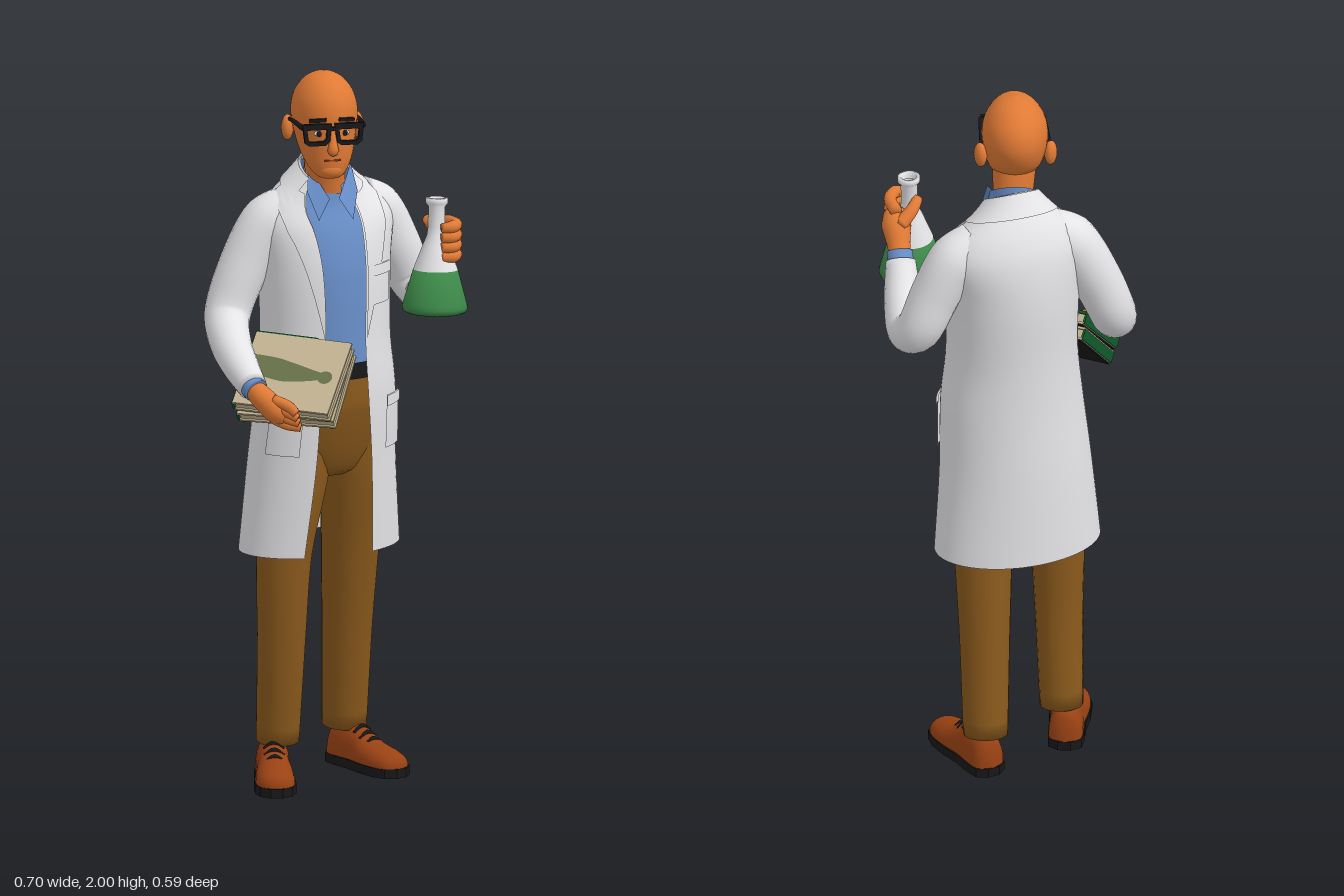
import * as THREE from 'three';
import { mergeVertices } from 'three/addons/utils/BufferGeometryUtils.js';

const V = (x, y, z) => new THREE.Vector3(x, y, z);
const { lerp, clamp, smoothstep } = THREE.MathUtils;

const mat = (name, color, side = THREE.FrontSide) => {
  const m = new THREE.MeshStandardMaterial({ color, side });
  m.name = name;
  return m;
};

// Smooth surface from fn(u, v), both 0..1; u x v points outward
function grid(fn, nu, nv) {
  const pos = [], idx = [], w = nu + 1;
  for (let j = 0; j <= nv; j++)
    for (let i = 0; i <= nu; i++) pos.push(...fn(i / nu, j / nv).toArray());
  for (let j = 0; j < nv; j++)
    for (let i = 0; i < nu; i++) {
      const a = j * w + i;
      idx.push(a, a + 1, a + w, a + 1, a + w + 1, a + w);
    }
  let g = new THREE.BufferGeometry();
  g.setAttribute('position', new THREE.Float32BufferAttribute(pos, 3));
  g.setIndex(idx);
  g = mergeVertices(g, 1e-5);
  g.computeVertexNormals();
  return g;
}

// Round limb through [x, y, z, radius] points, closed at both ends
function sweep(pts, rows = 28, sides = 20) {
  const curve = new THREE.CatmullRomCurve3(pts.map(p => V(p[0], p[1], p[2])));
  let n = V(0.31, 0.2, 0.93);
  const frames = [];
  for (let j = 0; j <= rows; j++) {
    const t = clamp((j - 1) / (rows - 2), 0, 1), T = curve.getTangent(t);
    n = n.clone().addScaledVector(T, -n.dot(T)).normalize();
    const f = t * (pts.length - 1), i = Math.min(Math.floor(f), pts.length - 2);
    const r = j === 0 || j === rows ? 0 : lerp(pts[i][3], pts[i + 1][3], f - i);
    frames.push({ p: curve.getPoint(t), n, b: T.clone().cross(n), r });
  }
  return grid((u, v) => {
    const f = frames[Math.round(v * rows)], a = u * Math.PI * 2;
    return f.p.clone().addScaledVector(f.n, f.r * Math.cos(a)).addScaledVector(f.b, f.r * Math.sin(a));
  }, sides, rows);
}

// Smooth interpolation of table rows keyed on their first number
function rowAt(rows, y) {
  let i = 0;
  while (i < rows.length - 2 && y > rows[i + 1][0]) i++;
  const a = rows[i], b = rows[i + 1], p = rows[i - 1] || a, q = rows[i + 2] || b;
  const h = b[0] - a[0], k = clamp((y - a[0]) / h, 0, 1);
  return a.map((av, c) => {
    const m0 = (b[c] - p[c]) / (b[0] - p[0]) * h, m1 = (q[c] - av) / (q[0] - a[0]) * h;
    return (2 * k ** 3 - 3 * k * k + 1) * av + (k ** 3 - 2 * k * k + k) * m0
      + (3 * k * k - 2 * k ** 3) * b[c] + (k ** 3 - k * k) * m1;
  });
}

// Torso: y, centre x, centre z, half width, half depth, right and left coat edge x
const TORSO = [
  [0.65, -0.015, -0.12, 0.238, 0.165, -0.09, 0.11], [0.9, -0.01, -0.11, 0.215, 0.17, -0.06, 0.105],
  [1.1, 0, -0.105, 0.2, 0.17, -0.045, 0.092], [1.25, 0, -0.11, 0.185, 0.165, -0.032, 0.085],
  [1.45, 0, -0.122, 0.19, 0.16, -0.035, 0.09], [1.58, 0.005, -0.135, 0.2, 0.137, -0.055, 0.085],
  [1.66, 0.005, -0.13, 0.165, 0.11, -0.07, 0.075], [1.71, 0, -0.115, 0.112, 0.085, -0.068, 0.062],
  [1.755, 0, -0.1, 0.068, 0.066, -0.052, 0.05]];
const CY = Math.cos(0.33), SY = Math.sin(0.33);
function torsoPoint(y, t, scale = 1, off = 0) {
  const [, cx, cz, rx, rz] = rowAt(TORSO, y);
  const lx = (rx * scale + off) * Math.sin(t), lz = (rz * scale + off) * Math.cos(t);
  // the neckline dips towards the front
  const dip = 0.08 * smoothstep(y, 1.52, 1.75) * (0.5 + 0.5 * Math.cos(t));
  return V(cx + lx * CY + lz * SY, y - dip, cz - lx * SY + lz * CY);
}
// Angle on the torso's front where it reaches a given x
function angleAt(r, x) {
  const a = r[3] * CY, b = r[4] * SY;
  return Math.asin(clamp((x - r[1]) / Math.hypot(a, b), -1, 1)) - Math.atan2(b, a);
}
const band = (y0, y1, scale, off = 0, t0 = 0, t1 = Math.PI * 2) => grid(
  (u, v) => torsoPoint(lerp(y0, y1, v), lerp(t0, t1, u), scale, off), 48, 24);

// Head: y, centre z, half width, half depth
const HEAD = [[1.713, 0.015, 0, 0], [1.72, 0.015, 0.03, 0.028], [1.74, -0.002, 0.052, 0.052],
  [1.77, -0.022, 0.068, 0.076], [1.81, -0.047, 0.08, 0.103], [1.86, -0.061, 0.089, 0.118],
  [1.9, -0.064, 0.091, 0.12], [1.94, -0.064, 0.081, 0.108], [1.975, -0.062, 0.057, 0.078],
  [1.993, -0.06, 0.03, 0.042], [2, -0.06, 0, 0]];

export function createModel() {
  const root = new THREE.Group();
  const DS = THREE.DoubleSide;
  const skin = mat('skin', 0xe07a35), white = mat('white', 0xededf0, DS), blue = mat('shirtBlue', 0x688ec8, DS);
  const brown = mat('trouserBrown', 0x8a591c, DS), leather = mat('shoeLeather', 0x9a4214), black = mat('black', 0x18181a);
  const green = mat('liquidGreen', 0x3c8748), beige = mat('bookBeige', 0xc4b592), olive = mat('olive', 0x68744a);
  const darkGreen = mat('bookGreen', 0x0f5a2c);
  const add = (name, geo, m, parent = root) => {
    const mesh = new THREE.Mesh(geo, m);
    mesh.name = name;
    parent.add(mesh);
    return mesh;
  };
  const ball = (name, m, p, s, parent) => {
    const b = add(name, new THREE.SphereGeometry(1, 20, 14), m, parent);
    b.position.set(...p);
    b.scale.set(...s);
    return b;
  };

  // Shirt, trousers and belt under the coat
  add('shirt', band(1.17, 1.735, 0.93), blue);
  add('hips', grid((u, v) => torsoPoint(lerp(0.86, 1.17, v), u * Math.PI * 2,
    lerp(0.45, 0.92, Math.sqrt(Math.min(v * 1.5, 1)))), 48, 24), brown);
  add('belt', band(1.15, 1.195, 0.935, 0.004), black);
  add('rightTrouserLeg', sweep([[-0.07, 1.06, -0.08, 0.1], [-0.095, 0.87, -0.055, 0.093], [-0.127, 0.65, -0.045, 0.077],
    [-0.134, 0.4, -0.052, 0.067], [-0.139, 0.11, -0.08, 0.06]]), brown);
  add('leftTrouserLeg', sweep([[0.075, 1.06, -0.12, 0.1], [0.085, 0.87, -0.135, 0.096], [0.082, 0.65, -0.165, 0.081],
    [0.08, 0.4, -0.2, 0.07], [0.08, 0.11, -0.237, 0.062]]), brown);

  // Open lab coat
  add('coat', grid((u, v) => {
    const y = lerp(0.65, 1.755, v), r = rowAt(TORSO, y);
    return torsoPoint(y, lerp(angleAt(r, r[6]), angleAt(r, r[5]) + Math.PI * 2, u));
  }, 64, 48), white);
  for (const [name, col, s] of [['rightLapel', 5, -1], ['leftLapel', 6, 1]])
    add(name, grid((u, v) => {
      const y = lerp(1.26, 1.72, v), r = rowAt(TORSO, y);
      const w = 0.07 * Math.min(v / 0.68, 1);
      return torsoPoint(y, angleAt(r, r[col] + s * w * (s > 0 ? u : 1 - u)), 1, 0.008);
    }, 8, 24), white);
  add('coatCollar', band(1.7, 1.757, 1, 0.008, 1.2, 5.1), white);
  const pocket = (name, y0, y1, t0, t1) => {
    add(name, band(y0, y1, 1, 0.006, t0, t1), white);
    add(name + 'Flap', band(y1 - 0.03, y1, 1, 0.011, t0 - 0.02, t1 + 0.02), white);
  };
  pocket('leftHipPocket', 0.94, 1.09, 0.55, 1.25);
  pocket('rightHipPocket', 0.94, 1.09, -1.3, -0.75);
  pocket('breastPocket', 1.35, 1.46, 0.35, 0.75);

  // Sleeves and cuffs
  add('leftSleeve', sweep([[0.1, 1.615, -0.175, 0.06], [0.16, 1.57, -0.195, 0.073], [0.215, 1.47, -0.205, 0.069],
    [0.262, 1.365, -0.208, 0.063], [0.288, 1.335, -0.165, 0.058], [0.297, 1.385, -0.08, 0.053], [0.298, 1.465, -0.005, 0.042]], 40), white);
  add('rightSleeve', sweep([[-0.09, 1.615, -0.11, 0.06], [-0.16, 1.57, -0.105, 0.075], [-0.235, 1.44, -0.095, 0.07],
    [-0.282, 1.32, -0.07, 0.064], [-0.29, 1.26, 0.02, 0.057], [-0.28, 1.215, 0.11, 0.05], [-0.262, 1.175, 0.185, 0.04]], 40), white);
  add('leftCuff', sweep([[0.298, 1.455, -0.01, 0.036], [0.3, 1.485, 0.016, 0.036]], 8), blue);
  add('rightCuff', sweep([[-0.265, 1.18, 0.175, 0.035], [-0.255, 1.168, 0.196, 0.035]], 8), blue);

  // Neck and shirt collar
  add('neck', sweep([[0, 1.6, -0.11, 0.055], [-0.005, 1.7, -0.085, 0.055], [-0.012, 1.81, -0.06, 0.062]]), skin);
  add('collarBand', grid((u, v) => {
    const a = 0.5 + u * (Math.PI * 2 - 1), r = lerp(0.066, 0.061, v), c = Math.cos(a);
    return V(r * Math.sin(a), lerp(1.665 - 0.02 * c, 1.72 - 0.046 * c, v), -0.092 + r * c);
  }, 32, 3), blue);
  for (const s of [-1, 1])
    add(s > 0 ? 'leftCollarFlap' : 'rightCollarFlap', grid((u, v) => {
      const low = V(s * 0.07, 1.665, -0.03).lerp(V(s * 0.048, 1.595, 0.02), u);
      const high = V(s * 0.06, 1.732, -0.075).lerp(V(s * 0.013, 1.65, -0.005), u);
      const p = low.lerp(high, v);
      return V(p.x + 0.005, p.y, p.z);
    }, 4, 4), blue);

  // Head, facing forward
  const head = new THREE.Group();
  head.name = 'head';
  head.position.x = -0.012;
  root.add(head);
  add('skull', grid((u, v) => {
    const y = lerp(1.713, 2, 0.5 - 0.5 * Math.cos(v * Math.PI)), [, cz, rx, rz] = rowAt(HEAD, y), a = u * Math.PI * 2;
    return V(rx * Math.sin(a), y, cz + rz * Math.cos(a));
  }, 36, 32), skin, head);
  add('nose', sweep([[0, 1.86, 0.045, 0.009], [0, 1.825, 0.058, 0.011], [0, 1.803, 0.062, 0.016], [0, 1.795, 0.055, 0.012]], 14, 12), skin, head);
  ball('chin', skin, [0, 1.742, 0.03], [0.034, 0.025, 0.024], head);
  const mouth = add('mouth', new THREE.BoxGeometry(0.045, 0.004, 0.008), leather, head);
  mouth.position.set(0, 1.773, 0.053);
  const points = list => list.map(p => new THREE.Vector2(...p));
  for (const s of [-1, 1]) {
    ball('ear', skin, [s * 0.097, 1.838, -0.092], [0.017, 0.036, 0.023], head).rotation.y = s * 0.4;
    ball('eye', white, [s * 0.036, 1.848, 0.042], [0.014, 0.008, 0.007], head);
    ball('pupil', black, [s * 0.036, 1.848, 0.047], [0.008, 0.008, 0.004], head);
    const brow = add('eyebrow', new THREE.BoxGeometry(0.048, 0.01, 0.01), black, head);
    brow.position.set(s * 0.04, 1.886, 0.048);
    brow.rotation.set(0, s * 0.35, -s * 0.12);
    // Glasses
    const rim = new THREE.Shape(points([[-0.041, 0.029], [-0.034, -0.024], [-0.022, -0.032], [0.024, -0.032], [0.036, -0.021], [0.041, 0.029]]));
    rim.holes.push(new THREE.Path(points([[-0.028, 0.013], [-0.024, -0.016], [-0.018, -0.021], [0.019, -0.021], [0.026, -0.014], [0.028, 0.013]])));
    add('glassesRim', new THREE.ExtrudeGeometry(rim, { depth: 0.013, bevelEnabled: false }), black, head)
      .position.set(s * 0.045, 1.85, 0.052);
    add('glassesArm', sweep([[s * 0.085, 1.87, 0.056, 0.008], [s * 0.091, 1.868, -0.03, 0.006], [s * 0.094, 1.862, -0.1, 0.005]], 10, 8), black, head);
  }
  add('glassesBridge', new THREE.BoxGeometry(0.03, 0.011, 0.011), black, head).position.set(0, 1.864, 0.059);

  // Shoes, built heel to toe: distance, half width, height
  const LAST = [[0, 0.014, 0.07], [0.02, 0.042, 0.105], [0.07, 0.047, 0.128], [0.12, 0.046, 0.115],
    [0.18, 0.053, 0.085], [0.24, 0.053, 0.07], [0.28, 0.04, 0.057], [0.3, 0.012, 0.036]];
  for (const [name, x, z, yaw] of [['rightShoe', -0.142, -0.15, -0.15], ['leftShoe', 0.06, -0.285, 0.47]]) {
    const shoe = new THREE.Group();
    shoe.name = name;
    shoe.position.set(x, 0, z);
    shoe.rotation.y = yaw;
    root.add(shoe);
    add('upper', grid((u, v) => {
      const [d, w, h] = rowAt(LAST, v * 0.3), a = u * Math.PI * 2, k = v === 0 || v === 1 ? 0 : 1;
      return V(k * w * Math.cos(a), 0.022 + k * (h - 0.022) * Math.max(Math.sin(a), 0) ** 0.8, d);
    }, 28, 26), leather, shoe);
    const edge = [...LAST.map(p => [p[1] + 0.004, -p[0]]), ...LAST.slice().reverse().map(p => [-p[1] - 0.004, -p[0]])];
    const sole = new THREE.ExtrudeGeometry(new THREE.Shape(points(edge)), { depth: 0.026, bevelEnabled: false });
    add('sole', sole.rotateX(-Math.PI / 2), black, shoe);
    for (const d of [0.125, 0.15, 0.175]) {
      const h = rowAt(LAST, d)[2];
      add('lace', sweep([[-0.028, h - 0.014, d, 0.004], [0, h + 0.002, d, 0.006], [0.028, h - 0.014, d, 0.004]], 10, 8), black, shoe);
    }
  }

  // Flask with liquid
  const flask = new THREE.Group();
  flask.name = 'flask';
  flask.position.set(0.258, 1.35, 0.134);
  flask.rotation.set(-0.075, 0, -0.035);
  root.add(flask);
  const lathe = pts => new THREE.LatheGeometry(points(pts), 36);
  add('liquid', lathe([[0, 0], [0.078, 0], [0.088, 0.006], [0.091, 0.016], [0.088, 0.028], [0.062, 0.12], [0, 0.12]]), green, flask);
  add('glass', lathe([[0.062, 0.119], [0.036, 0.19], [0.026, 0.215], [0.023, 0.24], [0.023, 0.295], [0.031, 0.305],
    [0.031, 0.318], [0.022, 0.32], [0.018, 0.3]]), white, flask);

  // Left hand around the flask neck
  add('leftPalm', sweep([[0.298, 1.465, -0.005, 0.03], [0.302, 1.5, 0.025, 0.032], [0.306, 1.54, 0.065, 0.042], [0.308, 1.555, 0.105, 0.032]], 16), skin);
  for (let i = 0; i < 4; i++) {
    const y = 1.505 + i * 0.028, r = 0.0175;
    add('leftFinger', sweep([[0.308, y, 0.06, r], [0.32, y + 0.004, 0.12, r], [0.302, y + 0.006, 0.158, r],
      [0.272, y + 0.004, 0.16, 0.013]], 14, 12), skin);
  }
  add('leftThumb', sweep([[0.298, 1.55, 0.045, 0.022], [0.262, 1.585, 0.07, 0.018], [0.244, 1.605, 0.1, 0.014]], 12, 12), skin);

  // Two books, tilted, held against the waist
  const books = new THREE.Group();
  books.name = 'books';
  const bx = V(0.85, -0.035, 0.53).normalize(), bz = bx.clone().cross(V(-0.33, 0.74, 0.58)).normalize();
  books.applyMatrix4(new THREE.Matrix4().makeBasis(bx, bz.clone().cross(bx), bz).setPosition(-0.145, 1.202, 0.147));
  root.add(books);
  const slab = (name, m, s, p, parent) => add(name, new THREE.BoxGeometry(...s), m, parent).position.set(...p);
  [[0, 0], [-0.042, 0.05]].forEach(([y, yaw]) => {
    const book = new THREE.Group();
    book.name = 'book';
    book.position.y = y;
    book.rotation.y = yaw;
    books.add(book);
    slab('frontCover', beige, [0.28, 0.007, 0.24], [0, -0.0035, 0], book);
    slab('pages', beige, [0.27, 0.022, 0.23], [0, -0.019, 0], book);
    slab('pageGap', black, [0.266, 0.004, 0.226], [0, -0.008, 0], book);
    slab('endCover', darkGreen, [0.006, 0.03, 0.24], [-0.14, -0.019, 0], book);
    slab('backCover', beige, [0.28, 0.006, 0.24], [0, -0.033, 0], book);
    slab('backLining', black, [0.276, 0.004, 0.236], [0, -0.038, 0], book);
  });
  slab('coverEdge', darkGreen, [0.18, 0.008, 0.004], [-0.05, -0.004, -0.121], books);
  const figure = new THREE.Shape();
  figure.moveTo(-0.138, 0.045);
  figure.splineThru(points([[-0.06, 0.042], [0.0, 0.03], [0.06, 0.015], [0.085, 0.008], [0.085, -0.012], [0.04, -0.025],
    [-0.02, -0.033], [-0.08, -0.025], [-0.138, -0.02]]));
  add('coverFigure', new THREE.ShapeGeometry(figure).rotateX(-Math.PI / 2), olive, books).position.y = 0.002;
  add('coverFigureHead', new THREE.CircleGeometry(0.021, 20).rotateX(-Math.PI / 2), olive, books).position.set(0.098, 0.002, 0.004);

  // Right hand gripping the lower edge of the books
  add('rightPalm', sweep([[-0.262, 1.175, 0.185, 0.028], [-0.24, 1.15, 0.21, 0.033], [-0.205, 1.115, 0.222, 0.035], [-0.18, 1.095, 0.225, 0.026]], 16), skin);
  for (let i = 0; i < 4; i++) {
    const k = i * 0.018;
    add('rightFinger', sweep([[-0.215, 1.095 + k, 0.215 + k * 0.3, 0.016], [-0.175, 1.078 + k, 0.236 + k * 0.3, 0.016],
      [-0.14 - k * 0.3, 1.07 + k * 0.8, 0.247 + k * 0.3, 0.012]], 12, 12), skin);
  }
  return root;
}
